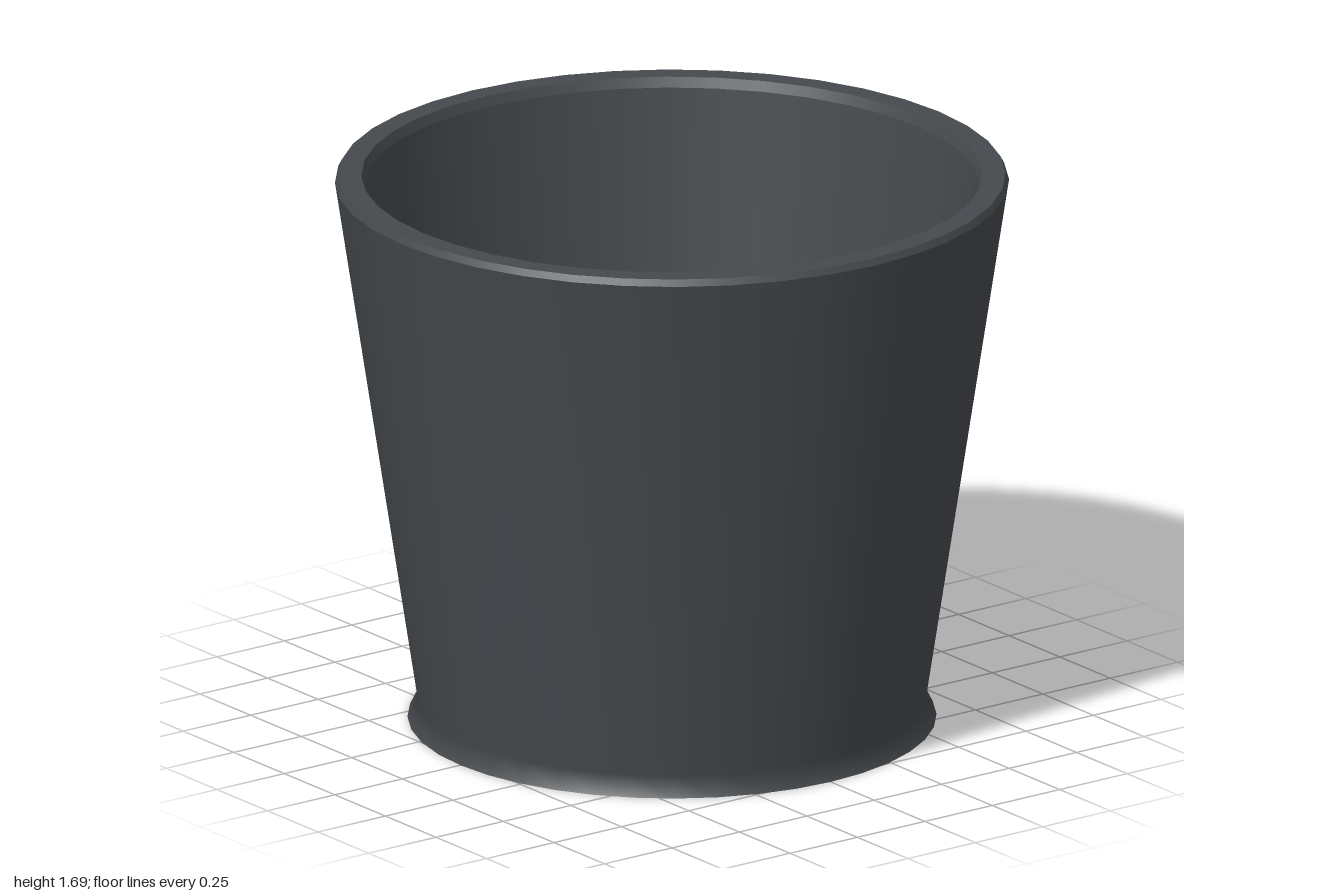
import * as THREE from 'three';

const SIDES = 40;

export function createModel() {
  const group = new THREE.Group();
  group.name = 'pot';
  const slate = new THREE.MeshStandardMaterial({ color: 0x45494d });
  slate.name = 'slate grey';

  // Each turned part is smooth within itself and sharp where it meets the next
  const turn = (name, profile) => {
    const points = profile.map(([r, y]) => new THREE.Vector2(r, y));
    const mesh = new THREE.Mesh(new THREE.LatheGeometry(points, SIDES), slate);
    mesh.name = name;
    group.add(mesh);
  };

  // Profiles run so that the surfaces face outward
  turn('underside', [[0, 0], [0.785, 0]]);
  turn('outerWallWithFoot', [[0.785, 0], [0.755, 0.06], [1, 1.67]]);
  turn('rimBevel', [[1, 1.67], [0.99, 1.69]]);
  turn('rimTop', [[0.99, 1.69], [0.922, 1.69]]);
  turn('innerLip', [[0.922, 1.69], [0.91, 1.66]]);
  turn('innerWall', [[0.91, 1.66], [0.715, 0.12]]);
  turn('innerFloor', [[0.715, 0.12], [0, 0.12]]);

  return group;
}
